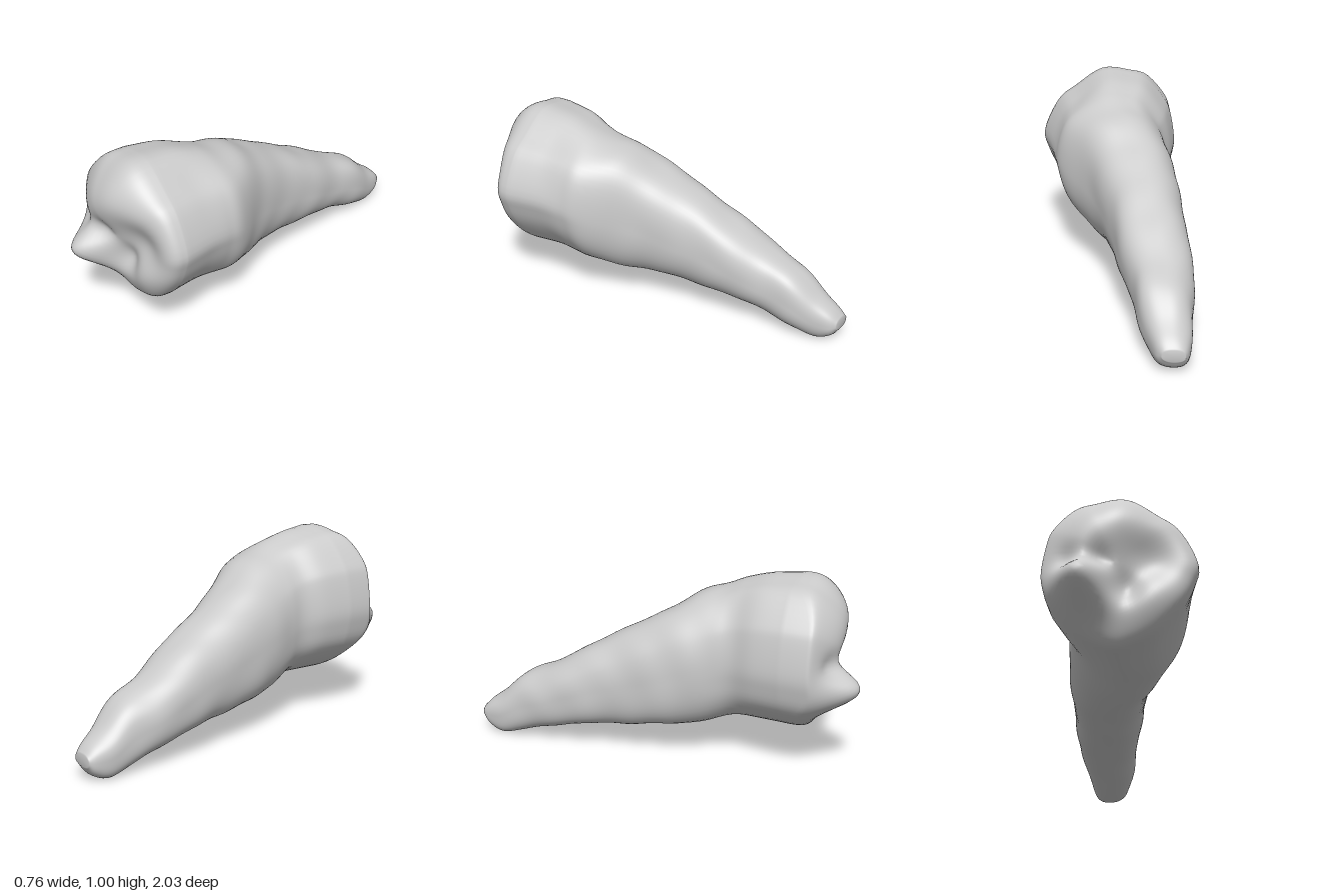
import * as THREE from 'three';
import { mergeVertices } from 'three/addons/utils/BufferGeometryUtils.js';

const AROUND = 72, ALONG = 80, CAP = 26;
const { lerp, smoothstep } = THREE.MathUtils;

// crown outline seen from the front, counter-clockwise
const outline = new THREE.CatmullRomCurve3([
  [0.05, 0.997], [-0.1, 0.985], [-0.2, 0.95], [-0.3, 0.83], [-0.335, 0.75], [-0.36, 0.6], [-0.35, 0.5], [-0.31, 0.39],
  [-0.2, 0.28], [-0.05, 0.205], [0.05, 0.215], [0.18, 0.28], [0.3, 0.42], [0.36, 0.54], [0.38, 0.65], [0.3, 0.82], [0.2, 0.9],
].map(([x, y]) => new THREE.Vector3(x, y, 0)), true, 'catmullrom', 0.5);

// root and neck stations: z, xMin, xMax, yMin, yMax
const stations = [
  [-1, -0.31, -0.2, 0.08, 0.14], [-0.96, -0.33, -0.17, 0.03, 0.18], [-0.88, -0.35, -0.14, 0, 0.24],
  [-0.76, -0.36, -0.095, 0.03, 0.35], [-0.6, -0.38, -0.07, 0.08, 0.42], [-0.4, -0.38, -0.01, 0.12, 0.54],
  [-0.2, -0.36, 0.03, 0.14, 0.65], [0, -0.35, 0.1, 0.16, 0.76], [0.15, -0.33, 0.18, 0.17, 0.85],
  [0.3, -0.3, 0.29, 0.2, 0.905], [0.4, -0.29, 0.315, 0.21, 0.945], [0.52, -0.33, 0.34, 0.21, 0.98],
  [0.68, -0.36, 0.38, 0.205, 1.0],
];
const curveOf = (a, b) => new THREE.CatmullRomCurve3(
  stations.map((s) => new THREE.Vector3(s[0], s[a], s[b])), false, 'catmullrom', 0.5);
const widthCurve = curveOf(1, 2), heightCurve = curveOf(3, 4);

// cusps and grooves of the biting face: x, y, spread, height
const bumps = [
  [0.0, 0.82, 0.16, 0.1], [-0.2, 0.74, 0.12, 0.05], [-0.2, 0.48, 0.1, 0.12], [-0.13, 0.48, 0.1, 0.11],
  [-0.22, 0.6, 0.05, -0.06], [-0.08, 0.6, 0.05, -0.06],
  [0.18, 0.44, 0.1, 0.04], [0.16, 0.62, 0.1, -0.07], [0.03, 0.48, 0.06, -0.07],
];
const face = (x, y) => bumps.reduce((z, [bx, by, r, h]) =>
  z + h * Math.exp(-((x - bx) ** 2 + (y - by) ** 2) / (2 * r * r)), 0.82);

function toothGeometry() {
  const pos = [], index = [];
  const rim = Array.from({ length: AROUND }, (_, j) => outline.getPoint(j / AROUND));
  let rings = 0;
  const addRing = (fn) => { rim.forEach((p) => pos.push(...fn(p))); rings++; };

  // closed root tip
  addRing(() => [-0.255, 0.11, -1]);

  // root: rounded sections, fuller on one diagonal, that turn into the crown outline
  for (let i = 0; i <= ALONG; i++) {
    const w = widthCurve.getPoint(i / ALONG), h = heightCurve.getPoint(i / ALONG), z = w.x;
    const k = smoothstep(z, 0.15, 0.55);
    const cx = (w.y + w.z) / 2, cy = (h.y + h.z) / 2;
    addRing((p) => {
      const u = (p.x - 0.01) / 0.37, v = (p.y - 0.6025) / 0.3975;
      const n = u * v > 0 ? 3 : 2.1;
      const r = Math.pow(Math.abs(u) ** n + Math.abs(v) ** n, 1 / n);
      const lump = 1 + 0.015 * (1 - k) * Math.sin(z * 23 + u * 3) * Math.sin(v * 4 + z * 7);
      const q = lerp(1 / r, 1, k) * lump;
      return [cx + u * q * (w.z - w.y) / 2, cy + v * q * (h.z - h.y) / 2, z];
    });
  }

  // crown: the outline shrinks inwards while rising to the cusped face
  for (let i = 0; i <= CAP; i++) {
    const s = Math.cos((i / CAP) * Math.PI / 2);
    const rise = Math.cbrt(Math.max(0, 1 - s ** 3));
    addRing((p) => {
      const x = p.x * s, y = 0.6 + (p.y - 0.6) * s;
      const edge = 0.69 + 0.11 * smoothstep(-p.x, 0.1, 0.33) * smoothstep(p.y, 0.25, 0.5);
      return [x, y, edge + (face(x, y) - edge) * rise];
    });
  }

  for (let i = 0; i < rings - 1; i++) {
    for (let j = 0; j < AROUND; j++) {
      const n = (j + 1) % AROUND;
      const a = i * AROUND + j, b = i * AROUND + n, c = b + AROUND, d = a + AROUND;
      if (i > 0) index.push(a, b, c);
      if (i < rings - 2) index.push(a, c, d);
    }
  }
  const geo = new THREE.BufferGeometry();
  geo.setAttribute('position', new THREE.Float32BufferAttribute(pos, 3));
  geo.setIndex(index);
  const merged = mergeVertices(geo, 1e-5);
  merged.computeVertexNormals();
  return merged;
}

export function createModel() {
  const group = new THREE.Group();
  group.name = 'tooth';
  const tooth = new THREE.Mesh(toothGeometry(), new THREE.MeshStandardMaterial({ color: 0xcccccc }));
  tooth.name = 'crownAndRoot';
  group.add(tooth);
  return group;
}
